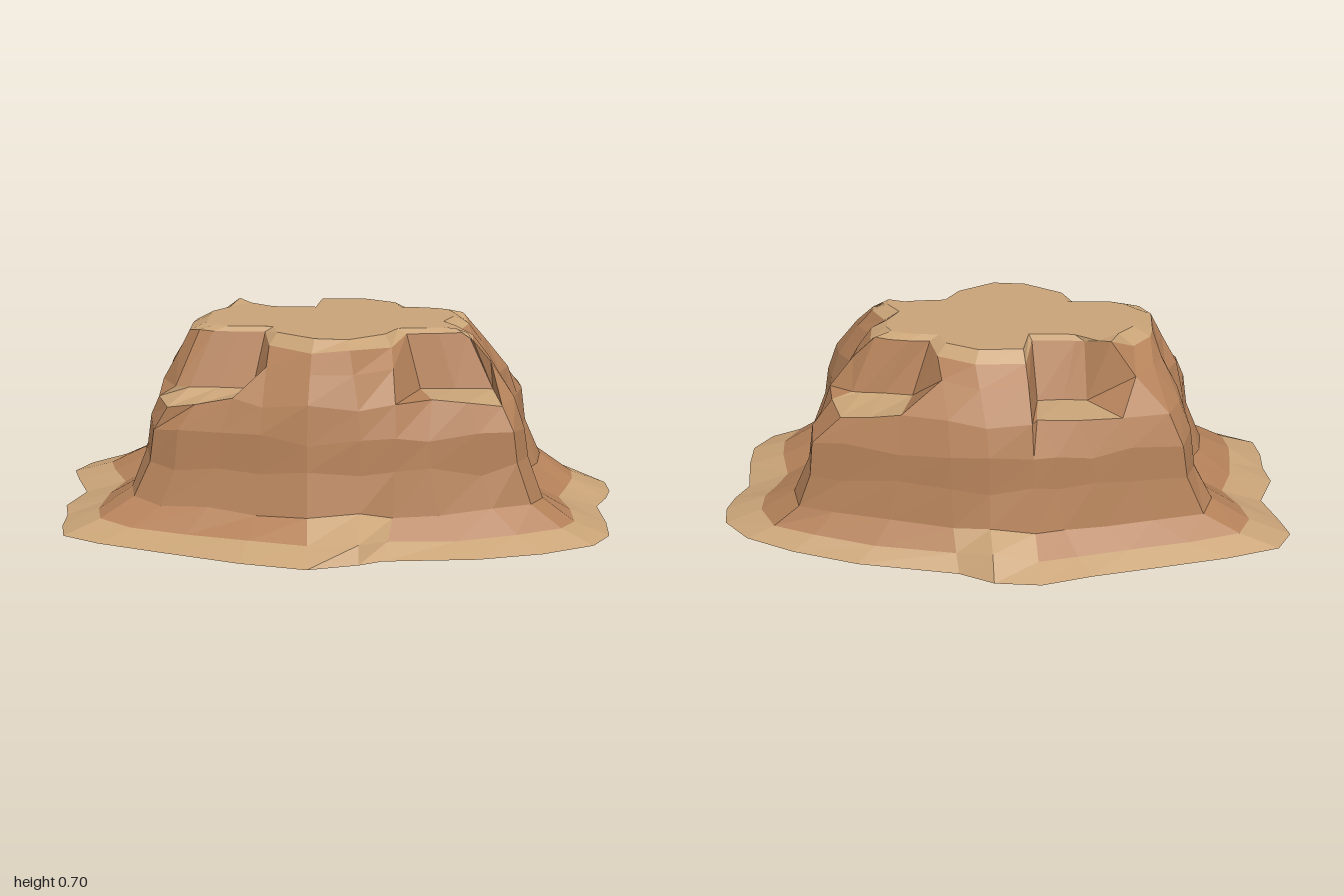
import * as THREE from 'three';

// Outlines as x,z pairs, counterclockwise from above, starting at the left (+x) side
const BASE = [
  1, -.17, .99, -.27, .9, -.38, .73, -.47, .5, -.55, .15, -.61, .03, -.67, -.13, -.68,
  -.3, -.62, -.52, -.56, -.77, -.49, -.95, -.42, -1, -.32, -.97, -.22, -.92, -.08, -.97, .07,
  -.95, .17, -.95, .28, -.93, .38, -.8, .45, -.57, .53, -.3, .62, -.07, .67, .1, .62,
  .18, .58, .5, .55, .72, .49, .9, .4, .96, .3, .96, .17, .94, 0, .98, -.09];
const WALL = [
  .65, -.15, .67, -.24, .66, -.36, .55, -.38, .36, -.43, .18, -.475, .05, -.49, -.1, -.48,
  -.18, -.46, -.3, -.44, -.43, -.41, -.61, -.36, -.64, -.26, -.62, -.17, -.56, -.09, -.58, 0,
  -.63, .07, -.64, .17, -.62, .27, -.53, .33, -.38, .36, -.24, .4, -.08, .44, .1, .43,
  .22, .405, .33, .38, .5, .35, .62, .32, .66, .24, .64, .15, .59, .05, .61, -.06];
const RIM = [
  .47, -.12, .45, -.16, .4, -.18, .33, -.19, .26, -.19, .23, -.27, .1, -.33, -.07, -.32,
  -.09, -.18, -.24, -.18, -.27, -.185, -.36, -.24, -.44, -.17, -.5, -.1, -.51, -.04, -.51, .03,
  -.51, .08, -.47, .12, -.42, .14, -.34, .14, -.24, .14, -.22, .23, -.07, .32, .06, .33,
  .2, .24, .25, .15, .36, .14, .46, .12, .48, .15, .48, .1, .43, .03, .47, -.05];
// Corner notches: column -> outer x, z, inner x, z and outer height of the ledge
const NOTCH = {
  1: [.6, -.23, .53, -.21, .47], 2: [.56, -.35, .5, -.215, .46], 3: [.46, -.37, .42, -.22, .47], 4: [.35, -.39, .32, -.235, .49],
  8: [-.11, -.42, -.11, -.27, .49], 9: [-.25, -.4, -.2, -.26, .48], 10: [-.4, -.38, -.28, -.265, .48],
  17: [-.61, .18, -.55, .19, .45], 18: [-.57, .28, -.5, .2, .44], 19: [-.47, .31, -.4, .2, .46], 20: [-.34, .33, -.28, .21, .49],
  25: [.34, .32, .3, .19, .49], 26: [.46, .32, .42, .18, .48], 27: [.58, .29, .55, .18, .46]
};
// Humps in the skirt: column -> how far in and how high its lip sits
const HUMP = { 6: [.3, .08], 23: [.17, .06] };
const N = 32;

export function createModel() {
  const brown = new THREE.MeshStandardMaterial({ color: 0xb5825a, side: THREE.DoubleSide, flatShading: true });
  brown.name = 'brown rock';
  const tan = new THREE.MeshStandardMaterial({ color: 0xc9a377, side: THREE.DoubleSide, flatShading: true });
  tan.name = 'tan sandstone';

  let seed = 7;
  const jitter = (a) => {
    seed = (seed * 16807) % 2147483647;
    return (seed / 2147483647 - 0.5) * 2 * a;
  };
  const at = (o, i) => [o[2 * i], o[2 * i + 1]];
  const mix = (a, b, t, y) => [a[0] + (b[0] - a[0]) * t, y, a[1] + (b[1] - a[1]) * t];

  // One vertical column of points for every outline position
  const cols = [];
  for (let i = 0; i < N; i++) {
    const b = at(BASE, i), w = at(WALL, i), r = at(RIM, i), n = NOTCH[i], h = HUMP[i];
    const rimY = i === 11 ? 0.7 : n ? 0.675 : 0.655 + jitter(0.008);
    cols.push([
      mix(b, w, 0, 0),
      h ? mix(b, w, h[0], h[1]) : mix(b, w, 0.4, 0.045 + jitter(0.006)),
      mix(b, w, 0.77, h ? 0.13 : 0.115 + jitter(0.01)),
      mix(b, w, 0.95, 0.25 + jitter(0.02)),
      mix(w, r, 0, 0.37 + jitter(0.015)),
      n ? [n[0], n[4], n[1]] : mix(w, r, 0.2, 0.48 + jitter(0.015)),
      n ? [n[2], 0.49, n[3]] : mix(w, r, 0.66, 0.59 + jitter(0.01)),
      mix(r, r, 0, rimY),
      mix(r, [0, 0], 0.12, 0.69),
      [0, 0.69, 0]
    ]);
  }

  // Sort the faces between the columns by colour
  const walls = [], skirt = [], ledges = [], plateau = [];
  for (let i = 0; i < N; i++) {
    const j = (i + 1) % N, a = cols[i], c = cols[j];
    const step = HUMP[i] || HUMP[j];
    for (let k = 0; k < 9; k++) {
      let part = walls;
      if (k === 0 || (k === 1 && step)) part = skirt;
      if (k === 5 && NOTCH[i] && NOTCH[j]) part = ledges;
      if (k >= 7) part = plateau;
      part.push(...a[k], ...c[k], ...c[k + 1]);
      if (k < 8) part.push(...a[k], ...c[k + 1], ...a[k + 1]);
    }
  }

  const group = new THREE.Group();
  group.name = 'mesa';
  const add = (name, points, material) => {
    const g = new THREE.BufferGeometry();
    g.setAttribute('position', new THREE.Float32BufferAttribute(points, 3));
    g.computeVertexNormals();
    const mesh = new THREE.Mesh(g, material);
    mesh.name = name;
    group.add(mesh);
  };
  add('cliffWalls', walls, brown);
  add('skirt', skirt, tan);
  add('notchLedges', ledges, tan);
  add('plateau', plateau, tan);
  return group;
}
